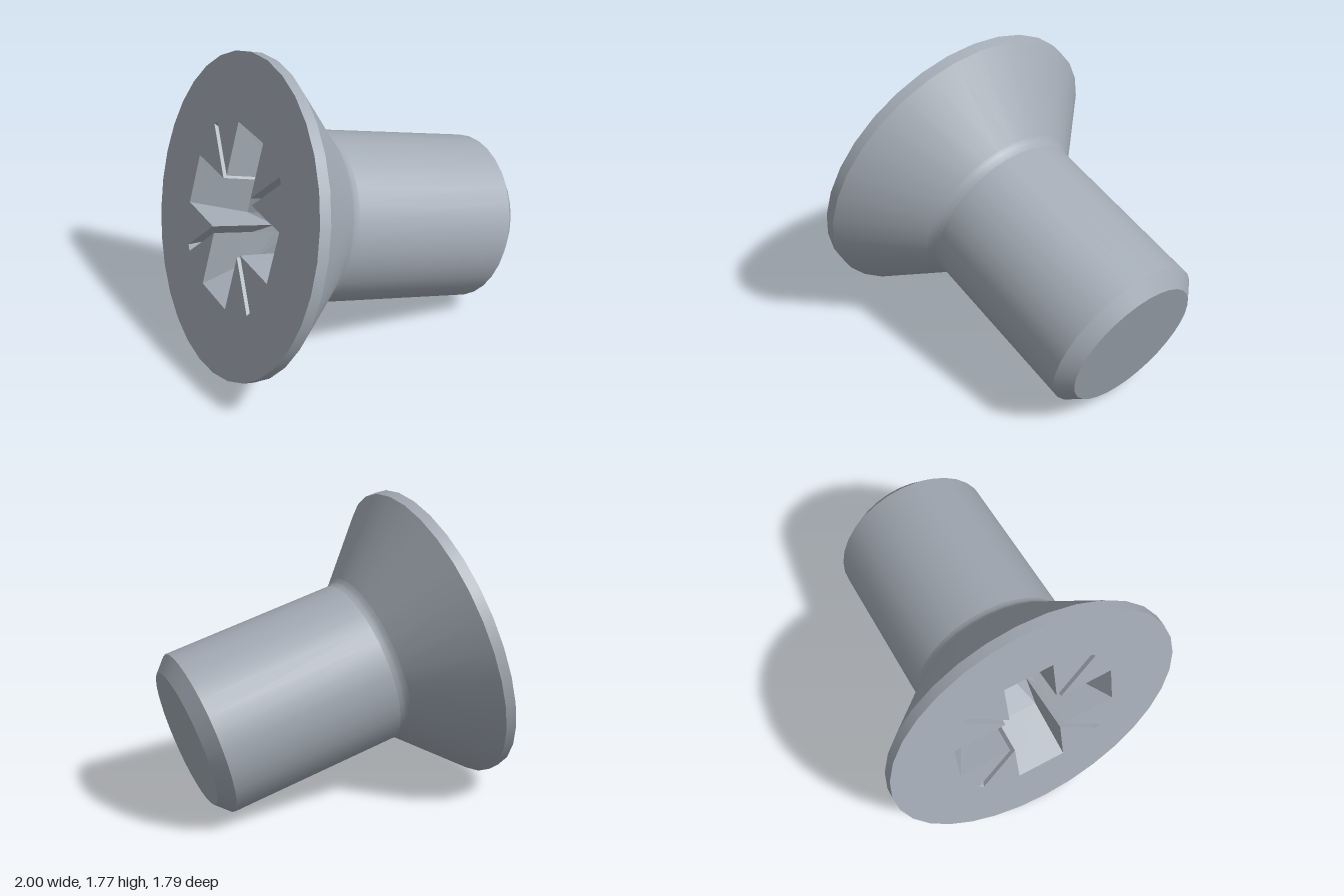
import * as THREE from 'three';

const SEG = 32;
const LENGTH = 1.653, HEAD_R = 0.91, SHANK_R = 0.495, TIP_R = 0.413;

// Recess outline: four wings and four thin diagonal slits.
// wing = wing reach, slit = slit reach; returns [x, z] pairs around the axis.
function recessOutline(wing, slit, half = 0.15, w = 0.014) {
  const s = slit * Math.SQRT1_2, pts = [];
  const quarter = [
    [wing, -half], [wing, half], [half + 2 * w, half],
    [s + w, s - w], [s - w, s + w], [half, half + 2 * w],
  ];
  for (let q = 0; q < 4; q++) {
    for (const [a, b] of quarter) {
      pts.push([[a, b], [-b, a], [-a, -b], [b, -a]][q]);
    }
  }
  return pts;
}

// Tapered recess walls and conical floor
function recessGeometry() {
  const apex = -0.53;
  const top = recessOutline(0.5, 0.56).map(([x, z]) => [x, 0, z]);
  const low = recessOutline(0.34, 0.34, 0.14).map(([x, z]) => [x, apex + 0.62 * Math.hypot(x, z), z]);
  const pos = [];
  for (let i = 0; i < top.length; i++) {
    const j = (i + 1) % top.length;
    pos.push(...top[i], ...low[i], ...top[j]);
    pos.push(...top[j], ...low[i], ...low[j]);
    pos.push(0, apex, 0, ...low[j], ...low[i]);
  }
  const g = new THREE.BufferGeometry();
  g.setAttribute('position', new THREE.Float32BufferAttribute(pos, 3));
  g.computeVertexNormals();
  return g;
}

// Flat head face with the recess opening cut out
function faceGeometry() {
  const ring = [];
  for (let i = 0; i < SEG; i++) {
    const a = (i / SEG) * Math.PI * 2;
    ring.push(new THREE.Vector2(HEAD_R * Math.cos(a), HEAD_R * Math.sin(a)));
  }
  const shape = new THREE.Shape(ring);
  const hole = recessOutline(0.5, 0.56).map(([x, z]) => new THREE.Vector2(x, -z));
  shape.holes.push(new THREE.Path(hole));
  return new THREE.ShapeGeometry(shape).rotateX(-Math.PI / 2);
}

export function createModel() {
  const model = new THREE.Group();
  const screw = new THREE.Group();
  screw.name = 'screw';
  model.add(screw);

  const steel = new THREE.MeshStandardMaterial({ color: 0xa3abb5 });
  steel.name = 'steel';

  const add = (name, geometry) => {
    const mesh = new THREE.Mesh(geometry, steel);
    mesh.name = name;
    screw.add(mesh);
  };
  const turned = (name, profile) =>
    add(name, new THREE.LatheGeometry(profile.map(([r, y]) => new THREE.Vector2(r, y)), SEG));

  // Body of revolution, from the tip up to the head; separate pieces keep edges sharp
  const chamferY = -LENGTH + 0.08;
  turned('tipFace', [[0, -LENGTH], [TIP_R, -LENGTH]]);
  turned('tipChamfer', [[TIP_R, -LENGTH], [SHANK_R, chamferY]]);
  turned('shank', [[SHANK_R, chamferY], [SHANK_R, -0.515]]);
  turned('neckFillet', [[SHANK_R, -0.515], [0.499, -0.493], [0.507, -0.474], [0.522, -0.456]]);
  turned('headCone', [[0.522, -0.456], [HEAD_R, -0.065]]);
  turned('headRim', [[HEAD_R, -0.065], [HEAD_R, 0]]);

  add('headFace', faceGeometry());
  add('driveRecess', recessGeometry());

  // Lean the screw: local +y points out of the head
  const up = new THREE.Vector3(-0.943, 0.264, -0.203).normalize();
  const side = new THREE.Vector3(up.z, 0, -up.x).normalize();
  const third = new THREE.Vector3().crossVectors(side, up);
  screw.quaternion.setFromRotationMatrix(new THREE.Matrix4().makeBasis(side, up, third));
  screw.position.set(-0.697, 0.897, -0.011);
  return model;
}
